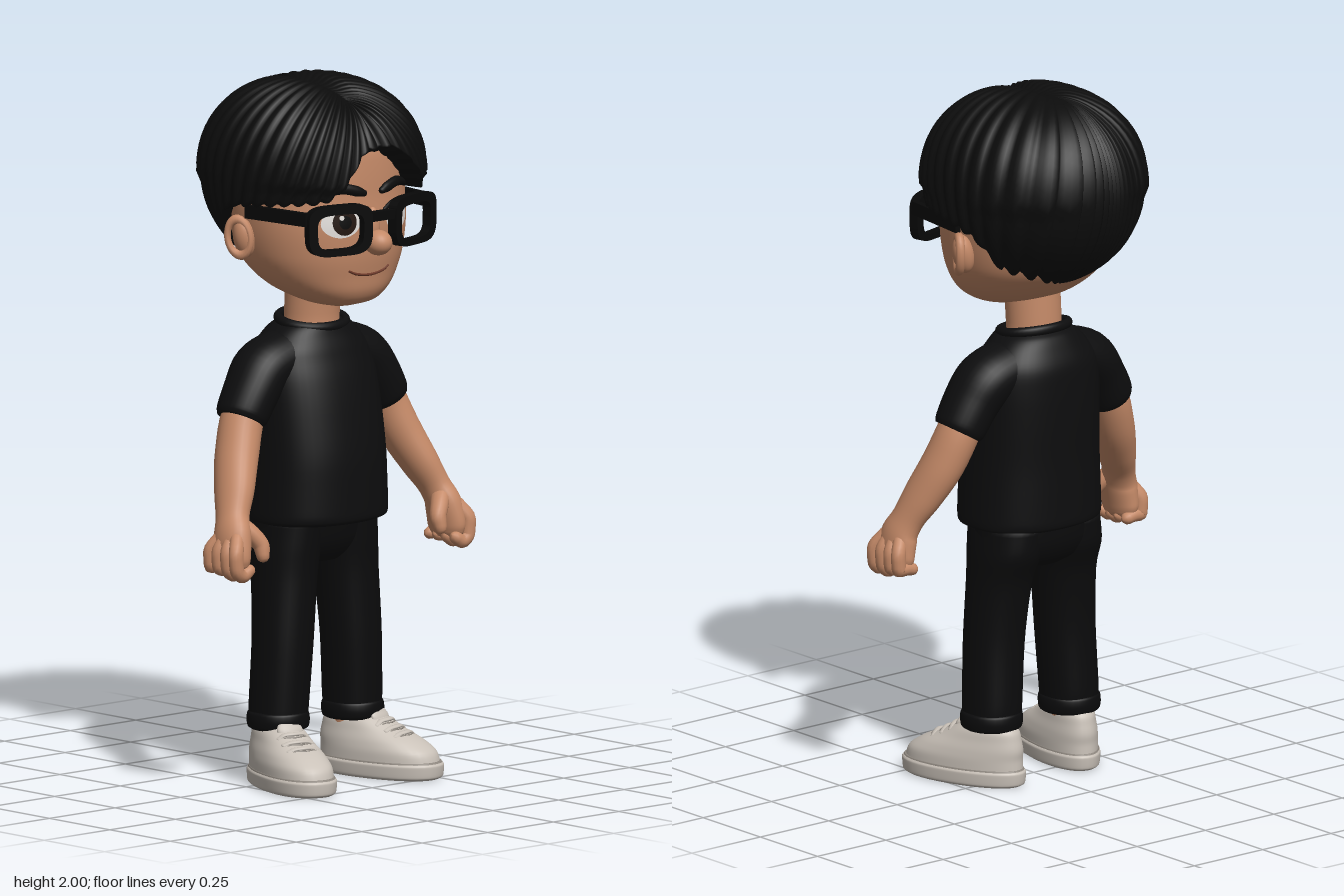
import * as THREE from 'three';

const mat = (name, color) => Object.assign(new THREE.MeshStandardMaterial({ color }), { name });
const { sin, cos, PI, abs, sign, min, max } = Math;

// Closed strip of rows of points, wound so each row's loop faces outward
function grid(rows) {
  const n = rows[0].length, pos = [], idx = [];
  rows.forEach(r => r.forEach(p => pos.push(p.x, p.y, p.z)));
  for (let i = 0; i < rows.length - 1; i++) for (let j = 0; j < n; j++) {
    const a = i * n + j, b = i * n + (j + 1) % n;
    idx.push(a, a + n, b, b, a + n, b + n);
  }
  const g = new THREE.BufferGeometry();
  g.setAttribute('position', new THREE.Float32BufferAttribute(pos, 3));
  g.setIndex(idx);
  g.computeVertexNormals();
  return g;
}

// Smooth interpolation of number tuples without overshoot
function refine(keys, steps) {
  const out = [], last = keys.length - 1;
  const tangent = (i, c) => {
    const d0 = i > 0 ? keys[i][c] - keys[i - 1][c] : null, d1 = i < last ? keys[i + 1][c] - keys[i][c] : null;
    if (d0 === null) return d1;
    if (d1 === null) return d0;
    return d0 * d1 > 0 ? 2 * d0 * d1 / (d0 + d1) : 0;
  };
  for (let i = 0; i < last; i++) for (let k = 0; k < steps; k++) {
    const t = k / steps, t2 = t * t, t3 = t2 * t;
    out.push(keys[i].map((a, c) => (2 * t3 - 3 * t2 + 1) * a + (t3 - 2 * t2 + t) * tangent(i, c)
      + (3 * t2 - 2 * t3) * keys[i + 1][c] + (t3 - t2) * tangent(i + 1, c)));
  }
  out.push(keys[last]);
  return out;
}

// Loft through keys [x, y, z, radiusU, radiusV]; level keeps rings horizontal
function loft(keys, { level = false, n = 32, steps = 5, power = 2, cap = 0, egg = 0 } = {}) {
  const rings = refine(keys, steps), rows = [];
  const at = i => new THREE.Vector3(...rings[max(0, min(rings.length - 1, i))].slice(0, 3));
  const row = (i, offset, scale) => {
    const T = level ? new THREE.Vector3(0, 1, 0) : at(i + 1).sub(at(i - 1)).normalize();
    const V = new THREE.Vector3(0, 0, 1).addScaledVector(T, -T.z).normalize();
    const U = T.clone().cross(V), [, , , ru, rv] = rings[i];
    const C = at(i).addScaledVector(T, offset * min(ru, rv) * cap);
    rows.push(Array.from({ length: n }, (_, j) => {
      const a = j / n * 2 * PI, c = cos(a), s = sin(a), f = v => sign(v) * abs(v) ** (2 / power) * scale;
      return C.clone().addScaledVector(U, ru * f(c) * (1 + egg * s)).addScaledVector(V, rv * f(s));
    }));
  };
  const ends = [PI / 2, PI / 3, PI / 6];
  ends.forEach(b => row(0, -sin(b), cos(b)));
  rings.forEach((_, i) => row(i, 0, 1));
  [...ends].reverse().forEach(b => row(rings.length - 1, sin(b), cos(b)));
  return grid(rows);
}

const headKeys = [[0, 1.362, .12, .04, .035], [0, 1.375, .115, .095, .085], [0, 1.41, .08, .16, .15],
  [0, 1.46, .05, .208, .19], [0, 1.52, .03, .236, .22], [0, 1.6, .02, .25, .235], [0, 1.7, 0, .255, .25],
  [0, 1.8, 0, .238, .245], [0, 1.89, 0, .18, .19], [0, 1.94, 0, .06, .06]];
const headRings = refine(headKeys, 12);
function faceZ(x, y) {
  const i = max(1, headRings.findIndex(r => r[1] >= y)), a = headRings[i - 1], b = headRings[i];
  const t = (y - a[1]) / (b[1] - a[1]), m = c => a[c] + (b[c] - a[c]) * t;
  return m(2) + m(4) * max(0, 1 - abs(x / m(3)) ** 2.2) ** (1 / 2.2);
}
// Thin oval lying on the face
function faceOval(cx, cy, rx, ry, lift) {
  const g = new THREE.RingGeometry(0.001, 1, 32, 5), p = g.attributes.position;
  for (let i = 0; i < p.count; i++) {
    const x = cx + p.getX(i) * rx, y = cy + p.getY(i) * ry;
    p.setXYZ(i, x, y, faceZ(x, y) + lift);
  }
  g.computeVertexNormals();
  return g;
}

// Hairline height by angle in degrees from the front towards the left
const hairline = [[-180, 1.45], [-140, 1.455], [-118, 1.52], [-104, 1.63], [-90, 1.665], [-60, 1.68], [-38, 1.69],
  [-27, 1.73], [-18, 1.8], [-8, 1.835], [4, 1.835], [16, 1.805], [28, 1.75], [42, 1.695], [60, 1.675], [90, 1.66],
  [104, 1.63], [118, 1.52], [140, 1.455], [180, 1.45]];
function hairGeometry() {
  const n = 320, m = 30, strands = 46, rows = [];
  const line = refine(hairline, 10);
  const heightAt = d => {
    const i = max(1, line.findIndex(k => k[0] >= d)), [a, b] = [line[i - 1], line[i]];
    return a[1] + (b[1] - a[1]) * (d - a[0]) / (b[0] - a[0]);
  };
  for (let i = 0; i <= m + 2; i++) {
    const v = min(1, i / m), tuck = i > m ? 1 - .1 * (i - m) : 1, row = [];
    for (let j = 0; j < n; j++) {
      const a = -PI + j / n * 2 * PI, ridge = abs(sin(a * strands / 2));
      const h = heightAt(a * 180 / PI) - 1.72 - .008 * ridge, k = Math.sqrt(max(.03, 1 - (h / .28) ** 2));
      const P = new THREE.Vector3(-.02, .27, .05 + .14 * cos(a)).normalize();
      const H = new THREE.Vector3(.305 * sin(a) * k, h, .32 * cos(a) * k).normalize();
      const w = P.angleTo(H);
      const d = P.multiplyScalar(sin((1 - v) * w) / sin(w)).addScaledVector(H, sin(v * w) / sin(w));
      const e = d.y > 0 ? 2.25 : 2;
      let R = (abs(d.x / .302) ** e + abs(d.y / .282) ** e + abs(d.z / .316) ** e) ** (-1 / e);
      R += .011 * (ridge - .6) * min(1, v * 4);
      // Parting groove
      R -= .022 * Math.exp(-(((d.x * R + .02) / .03) ** 2)) * (d.y > 0 ? max(0, min(1, (d.z + .5) * 2)) : 0);
      row.push(d.multiplyScalar(R * tuck).add(new THREE.Vector3(0, 1.72, 0)));
    }
    rows.push(row);
  }
  return grid(rows);
}

function rimGeometry() {
  const outline = (w, h, dy) => Array.from({ length: 48 }, (_, i) => {
    const a = i / 48 * 2 * PI, f = v => sign(v) * abs(v) ** .5;
    return new THREE.Vector2(w * f(cos(a)) * (1 + .05 * sin(a)), h * f(sin(a)) + dy);
  });
  const shape = new THREE.Shape(outline(.102, .072, 0));
  shape.holes.push(new THREE.Path(outline(.074, .05, -.004)));
  return new THREE.ExtrudeGeometry(shape, { depth: .028, bevelEnabled: false }).translate(0, 0, -.014);
}

export function createModel() {
  const root = new THREE.Group();
  const skin = mat('skin', 0xc58a68), hair = mat('hair black', 0x0c0c0c), cloth = mat('shirt black', 0x0d0d0e),
    denim = mat('trouser black', 0x0b0b0c), frame = mat('glasses black', 0x080808), shoe = mat('shoe off-white', 0xc9c1b8),
    seam = mat('shoe seam grey', 0x8f8880), white = mat('eye white', 0xe6e2de), iris = mat('iris brown', 0x24160f),
    lip = mat('mouth brown', 0x6e3a2a);
  const add = (name, geo, material, parent = root) => {
    const m = new THREE.Mesh(geo, material);
    m.name = name;
    parent.add(m);
    return m;
  };
  const ball = (name, material, p, r) => {
    const m = add(name, new THREE.SphereGeometry(1, 28, 20), material);
    m.position.set(...p);
    m.scale.set(...r);
    return m;
  };

  // Head
  add('head', loft(headKeys, { level: true, n: 56, steps: 6, power: 2.2 }), skin);
  add('neck', loft([[0, 1.26, 0, .1, .085], [0, 1.31, 0, .08, .076], [0, 1.45, .01, .08, .08]], { level: true }), skin);
  ball('nose', skin, [0, 1.556, .275], [.038, .036, .042]);
  ball('noseBridge', skin, [0, 1.6, .25], [.022, .055, .022]);
  add('hair', hairGeometry(), hair);
  const onFace = (pts, lift) => pts.map(([x, y, ru, rv]) => [x, y, faceZ(x, y) + lift, ru, rv]);
  add('mouth', loft(onFace([[-.075, 1.478, .003, .003], [-.045, 1.466, .004, .004], [0, 1.461, .004, .004],
    [.045, 1.466, .004, .004], [.075, 1.478, .003, .003]], 0), { n: 8 }), lip);

  // Shirt
  add('shirt', loft([[0, .742, .02, .19, .15], [0, .752, .02, .208, .166], [0, .775, .02, .21, .169], [0, .9, .02, .205, .167],
    [0, 1.05, .01, .2, .158], [0, 1.15, 0, .195, .146], [0, 1.22, -.008, .182, .13], [0, 1.265, -.008, .152, .11],
    [0, 1.295, -.005, .118, .094], [0, 1.305, -.002, .1, .083]], { level: true, n: 48, power: 2.3 }), cloth);
  const collar = add('collar', new THREE.TorusGeometry(.1, .014, 12, 48).rotateX(PI / 2).scale(1.02, 1, .86), cloth);
  collar.position.set(0, 1.305, 0);
  collar.rotation.x = .16;
  add('hips', loft([[0, .625, 0, .07, .07], [0, .655, -.005, .17, .1], [0, .7, -.005, .195, .12], [0, .78, 0, .195, .13]],
    { level: true, power: 2.3 }), denim);

  const bridge = add('glassesBridge', new THREE.BoxGeometry(.09, .026, .026), frame);
  bridge.position.set(0, 1.635, .285);

  for (const s of [1, -1]) {
    const side = s > 0 ? 'left' : 'right';
    const part = (name, keys, material, opt) =>
      add(side + name, loft(keys.map(([x, ...r]) => [s * x, ...r]), opt), material);

    // Eyes and brows
    add(side + 'EyeWhite', faceOval(s * .105, 1.618, .056, .042, .003), white);
    add(side + 'Iris', faceOval(s * .098, 1.62, .035, .037, .005), iris);
    add(side + 'Pupil', faceOval(s * .098, 1.62, .018, .019, .007), frame);
    add(side + 'EyeGlint', faceOval(s * .098 - .012, 1.634, .007, .007, .009), white);
    const lid = [.045, .075, .105, .135, .165].map((x, i) =>
      [s * x, 1.663 - .02 * ((i - 2) / 2) ** 2, .006, .006]);
    add(side + 'UpperLid', loft(onFace(lid, .002), { n: 10, cap: 1 }), hair);
    const brow = [[.035, 1.698, .01, .01], [.06, 1.706, .015, .011], [.1, 1.715, .015, .011], [.135, 1.708, .011, .01],
      [.16, 1.695, .005, .006]].map(([x, ...r]) => [s * x, ...r]);
    add(side + 'Brow', loft(onFace(brow, .004), { n: 16, cap: 1 }), hair);

    // Ears
    const ear = ball(side + 'Ear', skin, [s * .258, 1.565, 0], [.03, .058, .032]);
    ear.rotation.z = -s * .2;
    const helix = add(side + 'EarRim', new THREE.TorusGeometry(.046, .013, 10, 28).scale(.72, 1.1, 1), skin);
    helix.position.set(s * .276, 1.568, -.002);
    helix.rotation.set(0, s * (PI / 2 - .55), -s * .15);

    // Glasses
    const rim = add(side + 'GlassesRim', rimGeometry(), frame);
    rim.position.set(s * .14, 1.606, .264);
    rim.rotation.y = s * .24;
    const temple = add(side + 'GlassesTemple', new THREE.BoxGeometry(.018, .038, .225), frame);
    temple.position.set(s * .25, 1.643, .128);
    temple.rotation.y = -s * .12;

    // Sleeve, arm and hand
    part('Sleeve', [[.1, 1.215, -.008, .075, .095], [.18, 1.183, -.006, .08, .092], [.23, 1.125, 0, .076, .084],
      [.268, 1.062, .002, .072, .077], [.276, 1.048, .003, .066, .07]], cloth, { n: 32 });
    part('Arm', [[.2, 1.16, 0, .052, .06], [.265, 1.06, .004, .06, .064], [.308, .96, .025, .058, .066],
      [.352, .865, .062, .05, .062], [.385, .795, .09, .042, .052], [.402, .745, .108, .044, .062],
      [.41, .69, .113, .04, .068], [.41, .665, .113, .034, .062]], skin, { n: 28, cap: .6 });
    [.168, .132, .096, .062].forEach((z, i) => part('Finger' + (i + 1), [[.418, .745, z * .6 + .045, .022, .02],
      [.443, .7, z, .022, .02], [.44, .66, z, .021, .02], [.418, .642 + .006 * i * (i > 1), z, .02, .019],
      [.394, .655, z, .018, .018]], skin, { n: 14, cap: 1 }));
    part('Thumb', [[.392, .785, .11, .026, .03], [.358, .75, .14, .025, .027], [.337, .715, .158, .023, .023],
      [.338, .69, .165, .019, .019]], skin, { n: 16, cap: 1 });

    // Leg, cuff and ankle
    part('Leg', [[.142, .175, .015, .078, .08], [.14, .22, .015, .08, .084], [.13, .4, .02, .083, .086],
      [.117, .58, .012, .086, .096], [.108, .68, -.002, .092, .118], [.1, .75, 0, .092, .122]], denim, { level: true, power: 2.2 });
    part('Cuff', [[.142, .158, .015, .076, .078], [.142, .165, .015, .085, .087], [.142, .185, .015, .088, .09],
      [.142, .203, .015, .085, .088], [.142, .21, .015, .076, .08]], denim, { level: true });
    part('Ankle', [[.142, .1, .01, .055, .055], [.142, .19, .012, .058, .06]], skin, { level: true });

    // Shoe, toes turned out
    const foot = new THREE.Group();
    foot.name = side + 'Shoe';
    foot.position.set(s * .145, 0, 0);
    foot.rotation.y = s * .27;
    root.add(foot);
    const upper = [[0, .03, .1, .088, .19], [0, .07, .095, .087, .183], [0, .1, .075, .081, .165],
      [0, .13, .045, .07, .13], [0, .155, .025, .062, .103], [0, .17, .018, .052, .085]];
    const level = { level: true, n: 40, egg: .12, power: 2.2 };
    add(side + 'ShoeUpper', loft(upper, level), shoe, foot);
    add(side + 'Sole', loft([[0, 0, .1, .084, .184], [0, .008, .1, .092, .195], [0, .038, .1, .094, .198],
      [0, .046, .1, .09, .194]], level), shoe, foot);
    add(side + 'SoleSeam', loft([[0, .045, .1, .0905, .194], [0, .05, .0995, .0885, .19]], level), seam, foot);
    const shell = refine(upper, 12).reverse();
    const topY = (x, z) => (shell.find(r => (x / r[3]) ** 2 + ((z - r[2]) / r[4]) ** 2 < 1) || [0, .05])[1];
    [.125, .155, .185].forEach((z, i) => {
      const bar = [-.045, -.025, 0, .025, .045].map(x => [x, topY(x, z - abs(x) * .25), z - abs(x) * .25, .006, .011]);
      add(side + 'Lace' + (i + 1), loft(bar, { n: 10, cap: 1 }), shoe, foot);
      const edge = bar.map(([x, , z0]) => [x, topY(x, z0 + .013) + .001, z0 + .013, .003, .003]);
      add(side + 'LaceSeam' + (i + 1), loft(edge, { n: 6 }), seam, foot);
    });
    add(side + 'Tongue', loft([[0, .14, .105, .04, .018], [0, .165, .098, .04, .016], [0, .18, .092, .034, .012]],
      { level: true, n: 20, cap: .5 }), shoe, foot);
  }
  return root;
}
